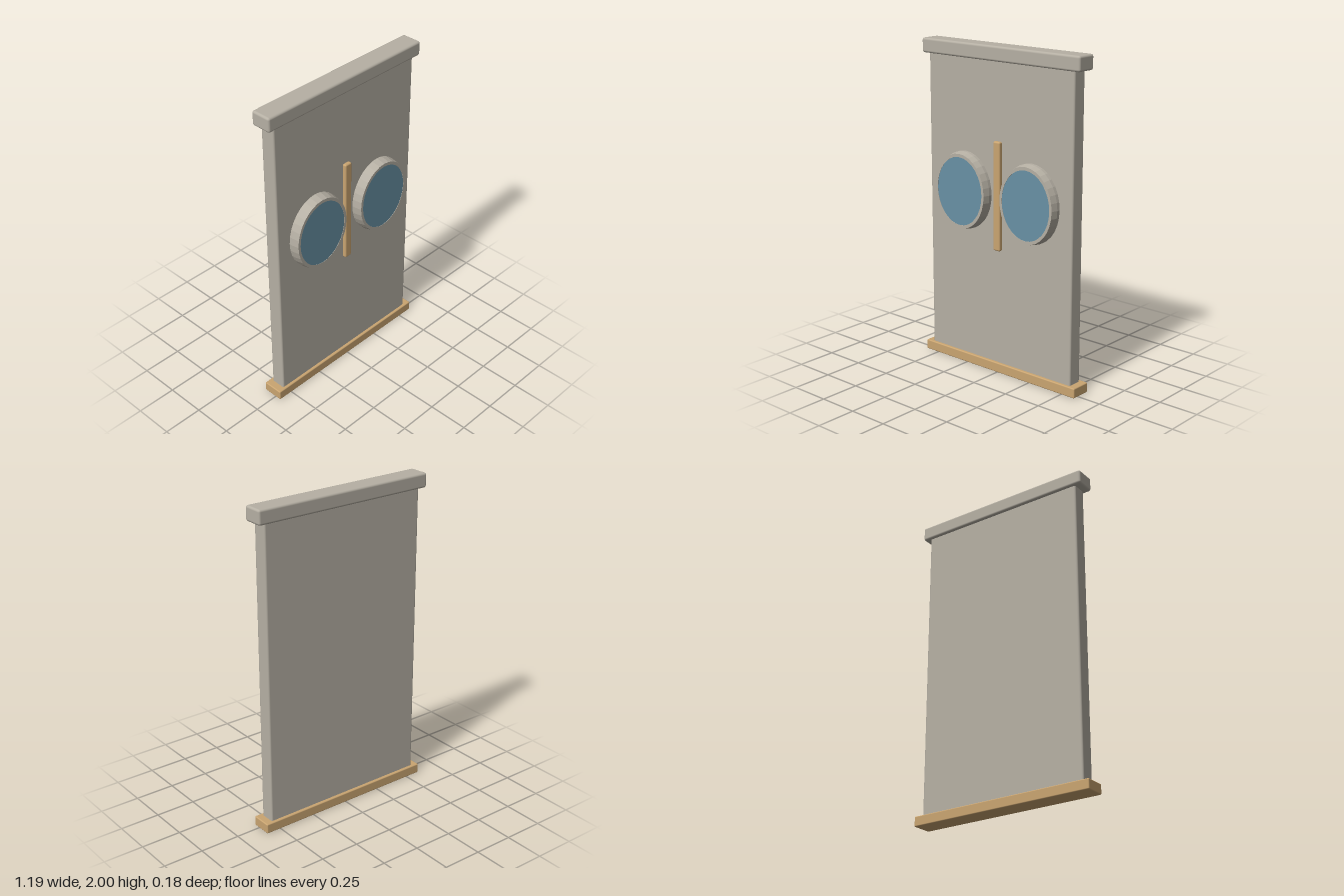
import * as THREE from 'three';
import { RoundedBoxGeometry } from 'three/addons/geometries/RoundedBoxGeometry.js';

const stone = new THREE.MeshStandardMaterial({ color: 0xb6b0a4 });
stone.name = 'warm grey';
const wood = new THREE.MeshStandardMaterial({ color: 0xcaa571 });
wood.name = 'light wood';
const glass = new THREE.MeshStandardMaterial({ color: 0x6891a5 });
glass.name = 'blue glass';

// Softened box given by its minimum and maximum corners
function box(name, material, min, max, radius) {
  const size = max.map((v, i) => v - min[i]);
  const mesh = new THREE.Mesh(new RoundedBoxGeometry(...size, 2, radius), material);
  mesh.position.set(...max.map((v, i) => (v + min[i]) / 2));
  mesh.name = name;
  return mesh;
}

// Oval window: faceted tapering rim with a thin pane on its front
function ovalWindow(name, x) {
  const group = new THREE.Group();
  group.name = name;
  const profile = [[0.203, 0], [0.203, 0.022], [0.195, 0.064], [0.178, 0.064], [0.178, 0.058]]
    .map(([r, h]) => new THREE.Vector2(r, h));
  const rimShape = new THREE.LatheGeometry(profile, 32).toNonIndexed();
  rimShape.computeVertexNormals();
  rimShape.rotateX(Math.PI / 2);
  const rim = new THREE.Mesh(rimShape, stone);
  rim.name = 'windowRim';
  const pane = new THREE.Mesh(new THREE.CircleGeometry(0.179, 32), glass);
  pane.name = 'windowPane';
  pane.position.z = 0.062;
  group.add(rim, pane);
  group.scale.y = 1.18;
  group.position.set(x, 1.112, 0.024);
  return group;
}

export function createModel() {
  const model = new THREE.Group();
  model.name = 'doorPanel';
  model.add(
    box('panel', stone, [-0.552, 0.04, -0.07], [0.552, 1.93, 0.025], 0.012),
    box('topRail', stone, [-0.597, 1.91, -0.088], [0.597, 2, 0.042], 0.014),
    box('bottomRail', wood, [-0.597, 0, -0.088], [0.597, 0.062, 0.042], 0.007),
    box('centreBar', wood, [-0.026, 0.78, 0.005], [0.026, 1.445, 0.047], 0.01),
  );
  for (const side of [-1, 1]) {
    model.add(ovalWindow(side > 0 ? 'leftWindow' : 'rightWindow', side * 0.257));
  }
  return model;
}
